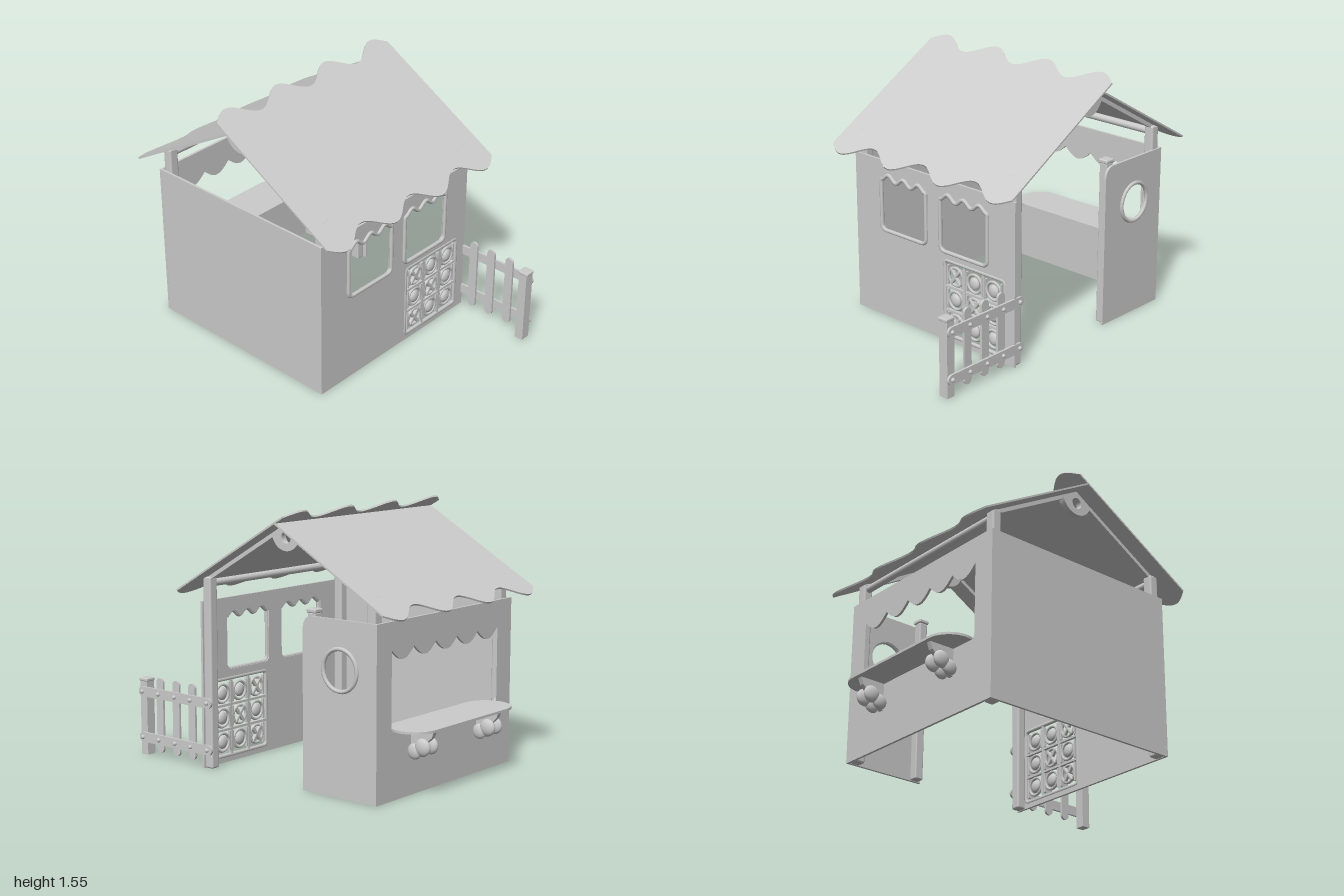
import * as THREE from 'three';
import { RoundedBoxGeometry } from 'three/addons/geometries/RoundedBoxGeometry.js';

const mat = new THREE.MeshStandardMaterial({ color: 0xcccccc, side: THREE.DoubleSide });
const T = 0.015; // panel thickness

function add(parent, name, geo, x = 0, y = 0, z = 0) {
  const m = new THREE.Mesh(geo, mat);
  m.name = name;
  m.position.set(x, y, z);
  parent.add(m);
  return m;
}
const box = (w, h, d) => new THREE.BoxGeometry(w, h, d);
const rbox = (w, h, d, r) => new RoundedBoxGeometry(w, h, d, 3, r);
const extrude = (shape, depth) =>
  new THREE.ExtrudeGeometry(shape, { depth, bevelEnabled: false, curveSegments: 20 });

function rectShape(x0, y0, x1, y1) {
  return new THREE.Shape([[x0, y0], [x1, y0], [x1, y1], [x0, y1]].map(p => new THREE.Vector2(...p)));
}

// Rounded slat lying along x, centred on the origin
function stadium(len, width, depth) {
  const r = width / 2, h = len / 2 - r;
  const s = new THREE.Shape();
  s.absarc(h, 0, r, -Math.PI / 2, Math.PI / 2);
  s.absarc(-h, 0, r, Math.PI / 2, Math.PI * 1.5);
  return extrude(s, depth).translate(0, 0, -depth / 2);
}

// Opening with round lower corners and a scalloped top edge
function opening(x0, x1, y0, wave, r, n) {
  const s = new THREE.Path();
  s.absarc(x0 + r, y0 + r, r, Math.PI, Math.PI * 1.5);
  s.absarc(x1 - r, y0 + r, r, Math.PI * 1.5, Math.PI * 2);
  for (let i = 0; i <= n; i++) s.lineTo(x1 + (x0 - x1) * i / n, wave(i / n));
  s.closePath();
  return s;
}

// Closed tube following a flat outline
function frameTube(path, r, n) {
  const pts = path.getSpacedPoints(n).slice(0, -1).map(p => new THREE.Vector3(p.x, p.y, 0));
  return new THREE.TubeGeometry(new THREE.CatmullRomCurve3(pts, true), n * 2, r, 8, true);
}

function buildWalls(g) {
  // front wall with two windows and a game panel opening
  const front = rectShape(-0.64, 0, 0.63, 0.985);
  for (const x0 of [-0.42, 0.06]) {
    const w = opening(x0, x0 + 0.365, 0.555, t => 0.885 - 0.018 * Math.cos(t * Math.PI * 6), 0.035, 36);
    front.holes.push(w);
    add(g, 'windowFrame', frameTube(w, 0.012, 100), 0, 0, 0.473);
  }
  front.holes.push(rectShape(0.09, 0.04, 0.555, 0.5));
  add(g, 'frontWall', extrude(front, T), 0, 0, 0.455);

  // back wall with the scalloped serving hatch
  const back = rectShape(-0.64, 0, 0.63, 0.985);
  back.holes.push(opening(-0.5, 0.5, 0.38, t => 0.83 - 0.06 * Math.abs(Math.sin(t * Math.PI * 5)), 0.03, 60));
  add(g, 'backWall', extrude(back, T), 0, 0, -0.82);

  add(g, 'leftWall', box(T, 0.985, 1.29), -0.632, 0.4925, -0.175);

  // short side wall with a porthole
  const side = new THREE.Shape();
  side.moveTo(0.305, 0);
  side.lineTo(0.82, 0);
  side.lineTo(0.82, 0.985);
  side.lineTo(0.375, 0.985);
  side.quadraticCurveTo(0.305, 0.985, 0.305, 0.9);
  side.closePath();
  side.holes.push(new THREE.Path().absarc(0.57, 0.71, 0.115, 0, Math.PI * 2, true));
  add(g, 'sideWall', extrude(side, T), 0.615, 0, 0).rotation.y = Math.PI / 2;
  add(g, 'portholeRing', new THREE.TorusGeometry(0.117, 0.012, 8, 40), 0.632, 0.71, -0.57).rotation.y = Math.PI / 2;
}

function buildGame(g) {
  const game = new THREE.Group();
  game.name = 'noughtsAndCrossesPanel';
  game.position.set(0.32, 0.27, 0.463);
  g.add(game);
  const edge = new THREE.Path();
  const a = 0.232, r = 0.02;
  [[1, 1], [-1, 1], [-1, -1], [1, -1]].forEach(([sx, sy], i) =>
    edge.absarc(sx * (a - r), sy * (a - r), r, i * Math.PI / 2, (i + 1) * Math.PI / 2));
  edge.closePath();
  add(game, 'gameFrame', frameTube(edge, 0.012, 100));
  for (const s of [-0.074, 0.074]) {
    add(game, 'gameBarVertical', box(0.014, 0.46, 0.018), s, 0, 0);
    add(game, 'gameBarHorizontal', box(0.46, 0.014, 0.018), 0, s, 0);
  }
  for (let row = -1; row <= 1; row++) for (let col = -1; col <= 1; col++) {
    const x = col * 0.147, y = row * 0.147;
    add(game, 'tileRing', new THREE.TorusGeometry(0.054, 0.009, 8, 28), x, y, 0);
    for (const s of [-1, 1]) add(game, 'tileSide', box(0.01, 0.12, 0.016), x + s * 0.06, y, 0);
    if ((row !== 0 && col === -1) || (row === 0 && col === 0)) {
      for (const s of [-1, 1]) add(game, 'cross', rbox(0.022, 0.125, 0.022, 0.008), x, y, 0).rotation.z = s * 0.65;
    } else {
      add(game, 'nought', new THREE.SphereGeometry(0.036, 20, 14).scale(1, 1.1, 0.55), x, y, 0);
    }
  }
}

function buildFrame(g) {
  // corner posts, cross bars, rafters and ridge brackets
  for (const x of [-0.59, 0.59]) {
    for (const z of [0.43, -0.77]) {
      add(g, 'cornerPost', rbox(0.062, 1.13, 0.06, 0.012), x, 0.565, z);
      const rafter = add(g, 'rafter', box(0.03, 0.032, 0.7), x, 1.295, (z - 0.17) / 2);
      rafter.rotation.x = (z > 0 ? 1 : -1) * Math.PI / 6;
    }
    const s = new THREE.Shape();
    s.moveTo(0, 0.075);
    s.lineTo(-0.105, 0.012);
    s.bezierCurveTo(-0.09, -0.04, -0.05, -0.075, 0, -0.075);
    s.bezierCurveTo(0.05, -0.075, 0.09, -0.04, 0.105, 0.012);
    s.closePath();
    s.holes.push(new THREE.Path().absarc(0, 0, 0.034, 0, Math.PI * 2, true));
    add(g, 'ridgeBracket', extrude(s, 0.04), x - 0.02, 1.396, -0.17).rotation.y = Math.PI / 2;
  }
  for (const z of [0.43, -0.77])
    add(g, 'crossBar', new THREE.CylinderGeometry(0.022, 0.022, 1.18, 16).rotateZ(Math.PI / 2), 0, 1.09, z);
  // doorway post
  add(g, 'doorPost', rbox(0.055, 1.0, 0.055, 0.008), 0.587, 0.5, -0.355);
  add(g, 'doorPostCap', rbox(0.066, 0.025, 0.066, 0.008), 0.587, 1.01, -0.355);
}

function buildRoof(g) {
  // flat sheets with scalloped edges; y of the outline runs up the slope
  const wave = x => 0.05 * (1 - Math.cos(x * Math.PI * 2 / 0.4 - Math.PI));
  const sheet = (len, scallopTop) => {
    const s = new THREE.Shape(), n = 72, W = 0.71;
    for (let i = 0; i <= n; i++) {
      const x = -W + 2 * W * i / n;
      i ? s.lineTo(x, wave(x)) : s.moveTo(x, wave(x));
    }
    for (let i = n; i >= 0; i--) {
      const x = -W + 2 * W * i / n;
      s.lineTo(x, scallopTop ? len - wave(x) : len);
    }
    s.closePath();
    return extrude(s, 0.01);
  };
  const front = add(g, 'frontRoof', sheet(1.06, true), 0, 1.015, 0.628);
  front.rotation.x = -Math.PI / 3;
  const back = add(g, 'backRoof', sheet(0.925, false), 0, 1.015, -0.968);
  back.rotation.set(-Math.PI / 3, Math.PI, 0, 'YXZ');
}

function buildFence(g) {
  const fence = new THREE.Group();
  fence.name = 'fence';
  g.add(fence);
  add(fence, 'fencePost', box(0.06, 0.46, 0.055), 0.59, 0.23, 0.965);
  add(fence, 'fencePostCap', rbox(0.066, 0.02, 0.066, 0.006), 0.59, 0.46, 0.967);
  for (const y of [0.11, 0.39]) {
    add(fence, 'fenceRail', stadium(0.6, 0.06, 0.014).rotateY(Math.PI / 2), 0.626, y, 0.695);
    for (const z of [0.43, 0.565, 0.695, 0.83, 0.965])
      add(fence, 'bolt', new THREE.SphereGeometry(0.013, 12, 8), 0.634, y, z);
  }
  for (const z of [0.565, 0.695, 0.83])
    add(fence, 'picket', stadium(0.455, 0.055, 0.014).rotateZ(Math.PI / 2).rotateY(Math.PI / 2), 0.612, 0.258, z);
}

function buildShelf(g) {
  // board-shaped counter on wheeled brackets
  add(g, 'counterBoard', stadium(0.97, 0.28, 0.014).rotateX(Math.PI / 2), 0, 0.388, -0.86);
  for (const x of [-0.31, 0.31]) {
    const s = new THREE.Shape([[0.82, 0.38], [0.975, 0.38], [0.96, 0.34], [0.83, 0.22], [0.82, 0.22]]
      .map(p => new THREE.Vector2(...p)));
    add(g, 'counterBracket', extrude(s, 0.03), x - 0.015, 0, 0).rotation.y = Math.PI / 2;
    for (const side of [-1, 1]) {
      add(g, 'outerWheel', new THREE.SphereGeometry(0.05, 20, 14).scale(0.5, 1, 1), x + side * 0.035, 0.285, -0.915);
      add(g, 'innerWheel', new THREE.SphereGeometry(0.045, 20, 14).scale(0.5, 1, 1), x + side * 0.035, 0.255, -0.86);
    }
  }
}

export function createModel() {
  const g = new THREE.Group();
  g.name = 'playhouse';
  for (const build of [buildWalls, buildGame, buildFrame, buildRoof, buildFence, buildShelf]) build(g);
  return g;
}
